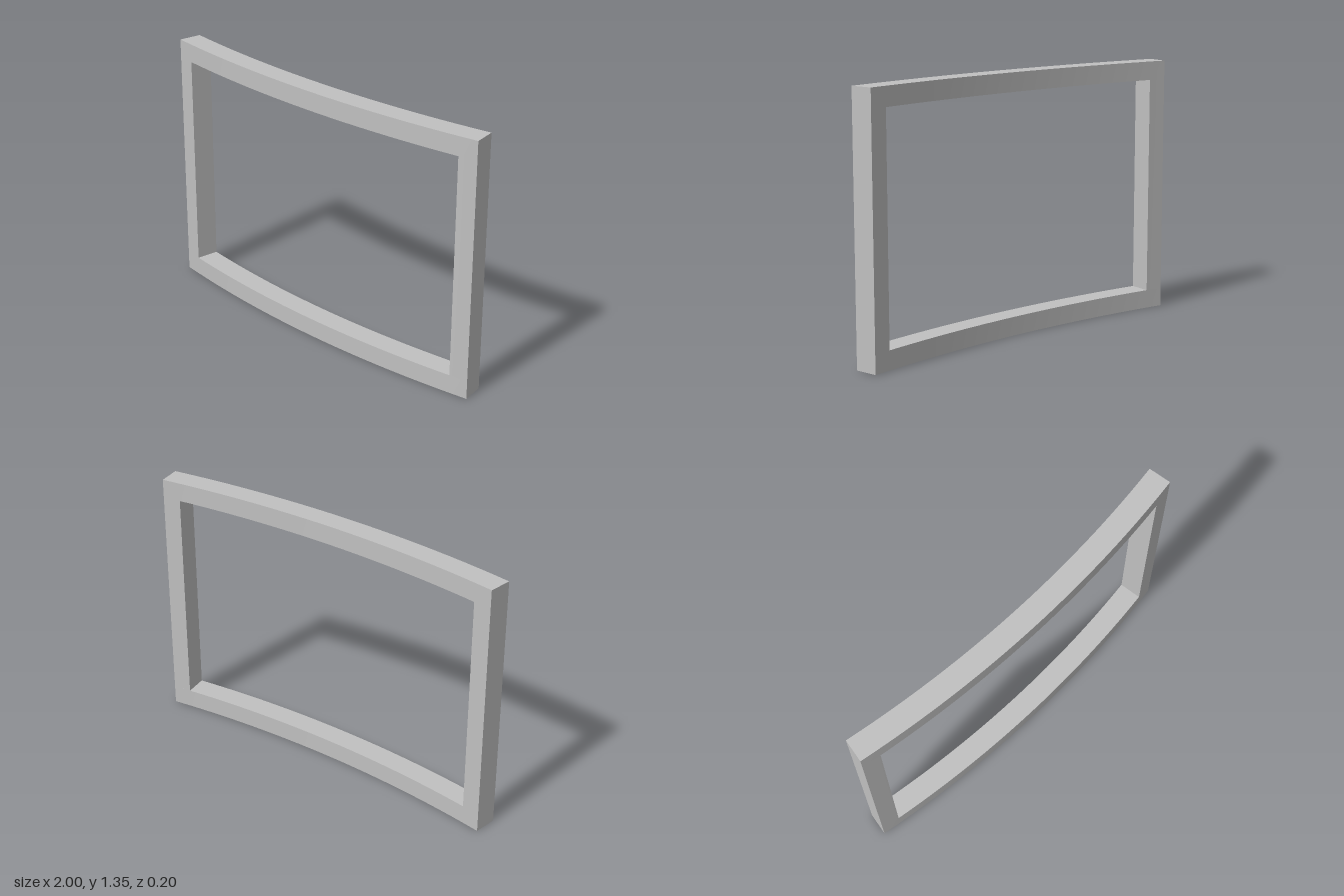
import * as THREE from 'three';

const HEIGHT = 1.345, BORDER = 0.098, DEPTH = 0.12;
const RADIUS = 6.29; // radius of the convex front face
const FRONT_Z = 0.099; // foremost point of the front face
const OUTER = Math.asin(1 / RADIUS); // half angle of the frame
const INNER = Math.asin(0.902 / RADIUS); // half angle of the opening

// A bar bent around a vertical axis, from angle a0 to a1 and height y0 to y1
function curvedBar(name, a0, a1, y0, y1, segments, material) {
  const geometry = new THREE.BoxGeometry(a1 - a0, y1 - y0, DEPTH, segments, 1, 1);
  geometry.translate((a0 + a1) / 2, (y0 + y1) / 2, -DEPTH / 2);
  const p = geometry.attributes.position;
  for (let i = 0; i < p.count; i++) {
    const angle = p.getX(i), r = RADIUS + p.getZ(i);
    p.setX(i, r * Math.sin(angle));
    p.setZ(i, FRONT_Z - RADIUS + r * Math.cos(angle));
  }
  geometry.computeVertexNormals();
  const mesh = new THREE.Mesh(geometry, material);
  mesh.name = name;
  return mesh;
}

export function createModel() {
  const group = new THREE.Group();
  group.name = 'curvedFrame';
  const grey = new THREE.MeshStandardMaterial({ color: 0xc0c0c0 });
  grey.name = 'light grey';

  // Full-width rails
  group.add(curvedBar('bottomRail', -OUTER, OUTER, 0, BORDER, 24, grey));
  group.add(curvedBar('topRail', -OUTER, OUTER, HEIGHT - BORDER, HEIGHT, 24, grey));

  // Side posts between the rails
  group.add(curvedBar('rightPost', -OUTER, -INNER, BORDER, HEIGHT - BORDER, 2, grey));
  group.add(curvedBar('leftPost', INNER, OUTER, BORDER, HEIGHT - BORDER, 2, grey));
  return group;
}
